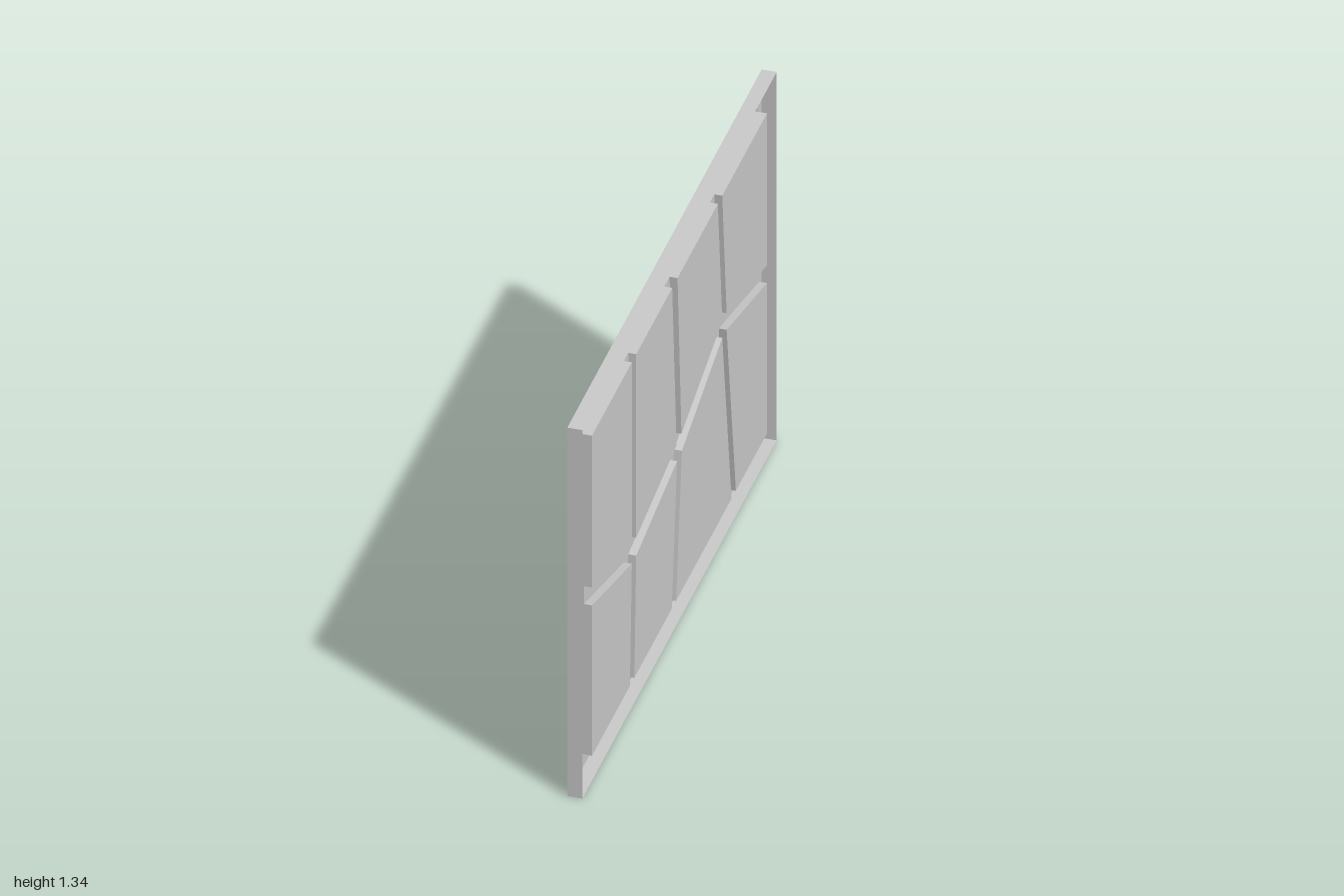
import * as THREE from 'three';

const H = 1.335;
// Depths of the pressed sheet, from the step (lowest) to the panes (highest)
const STEP = -0.03, FACE = -0.017, LATTICE = 0.005, PANE = 0.03;

const material = new THREE.MeshStandardMaterial({ color: 0xcccccc, side: THREE.DoubleSide, flatShading: true });

// Outlines are lists of [z, y]; the sheets are drawn in a plane whose x is -z
const toPoints = (outline) => outline.map(([z, y]) => new THREE.Vector2(-z, y));
const rect = (inset) => {
  const z = 1 - inset;
  return [[z, inset], [-z, inset], [-z, H - inset], [z, H - inset]];
};

export function createModel() {
  const root = new THREE.Group();
  root.name = 'pressedPanel';
  const panel = new THREE.Group();
  panel.name = 'panel';
  panel.rotation.y = Math.PI / 2;
  root.add(panel);

  const add = (name, geometry) => {
    const mesh = new THREE.Mesh(geometry, material);
    mesh.name = name;
    panel.add(mesh);
  };

  // Flat sheet at one depth, with optional holes
  const sheet = (name, outline, depth, holes = []) => {
    const shape = new THREE.Shape(toPoints(outline));
    shape.holes = holes.map((h) => new THREE.Path(toPoints(h)));
    add(name, new THREE.ShapeGeometry(shape).translate(0, 0, depth));
  };

  // Thin wall that follows an outline between two depths
  const wall = (name, outline, low, high) => {
    const points = toPoints(outline);
    const positions = [];
    points.forEach((a, i) => {
      const b = points[(i + 1) % points.length];
      positions.push(a.x, a.y, low, b.x, b.y, low, b.x, b.y, high);
      positions.push(a.x, a.y, low, b.x, b.y, high, a.x, a.y, high);
    });
    const geometry = new THREE.BufferGeometry();
    geometry.setAttribute('position', new THREE.Float32BufferAttribute(positions, 3));
    geometry.computeVertexNormals();
    add(name, geometry);
  };

  // Frame: outer rim, flat border, raised step and opening
  const outer = rect(0), step = rect(0.045);
  const opening = [[0.9, 0.09], [-0.9, 0.09], [-0.9, 1.25], [0.9, 1.25]];
  wall('outerRim', outer, FACE, PANE);
  sheet('frameBorder', outer, FACE, [step]);
  wall('stepEdge', step, STEP, FACE);
  sheet('frameStep', step, STEP, [opening]);
  wall('openingWall', opening, STEP, LATTICE);

  // Panes: upper row, then lower row
  const panes = [
    [[0.9, 0.7], [0.49, 0.585], [0.49, 1.25], [0.9, 1.25]],
    [[0.445, 0.585], [0.03, 0.65], [0.075, 1.25], [0.445, 1.25]],
    [[-0.02, 0.66], [-0.44, 0.795], [-0.395, 1.25], [0.02, 1.25]],
    [[-0.485, 0.795], [-0.9, 0.7], [-0.9, 1.25], [-0.44, 1.25]],
    [[0.9, 0.09], [0.51, 0.09], [0.49, 0.52], [0.9, 0.635]],
    [[0.465, 0.09], [0.08, 0.09], [0.025, 0.59], [0.445, 0.52]],
    [[0.035, 0.09], [-0.535, 0.09], [-0.44, 0.735], [-0.025, 0.595]],
    [[-0.58, 0.09], [-0.9, 0.09], [-0.9, 0.635], [-0.485, 0.735]],
  ];
  panes.forEach((pane, i) => {
    sheet(`pane${i + 1}`, pane, PANE);
    wall(`paneWall${i + 1}`, pane, LATTICE, PANE);
  });

  // Lattice bars: strips between neighbouring panes, meeting at the junctions
  const bar = (name, outline) => sheet(name, outline, LATTICE);
  for (let i = 0; i < 4; i++) {
    const top = panes[i], low = panes[i + 4];
    bar('crossBar', [low[3], low[2], top[1], top[0]]);
    if (i === 3) break;
    const nextTop = panes[i + 1], nextLow = panes[i + 5];
    bar('upperBar', [top[1], nextTop[0], nextTop[3], top[2]]);
    bar('lowerBar', [low[1], nextLow[0], nextLow[3], low[2]]);
    bar('barJunction', [low[2], nextLow[3], nextTop[0], top[1]]);
  }

  return root;
}
